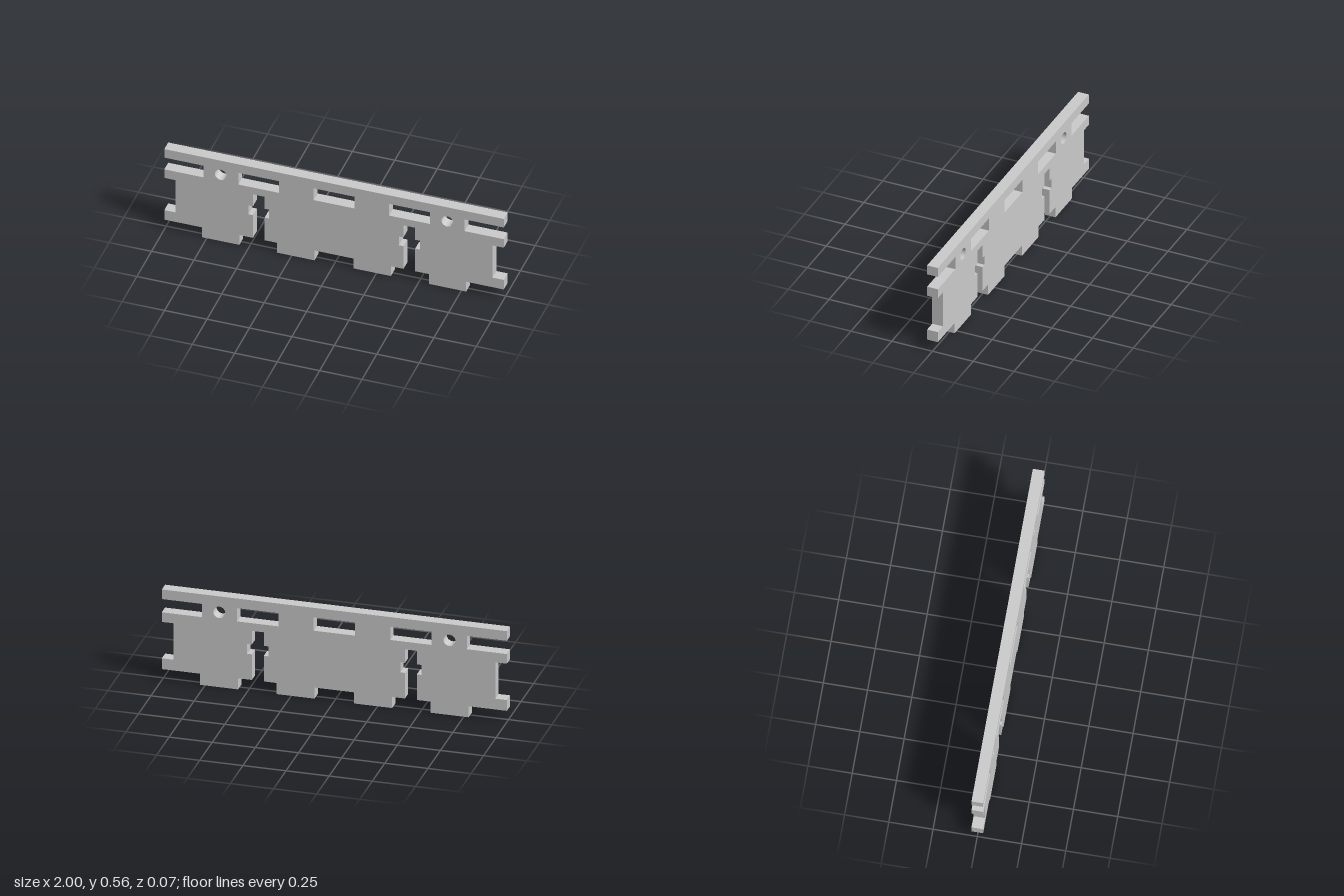
import * as THREE from 'three';

const THICKNESS = 0.066;

// Right half of the outline, from bottom centre round to the top edge
const HALF = [
  [0.115, 0.068], [0.115, 0], [0.335, 0], [0.335, 0.068],       // inner tab
  [0.409, 0.068], [0.409, 0.225], [0.382, 0.225], [0.382, 0.286], // cross slot
  [0.409, 0.286], [0.409, 0.369], [0.478, 0.369], [0.478, 0.286],
  [0.505, 0.286], [0.505, 0.225], [0.478, 0.225], [0.478, 0.068],
  [0.558, 0.068], [0.558, 0], [0.778, 0], [0.778, 0.068],       // outer tab
  [1, 0.068], [1, 0.134], [0.933, 0.134], [0.933, 0.357],       // end recess
  [1, 0.357], [1, 0.416], [0.768, 0.416], [0.768, 0.497],       // open end slot
  [1, 0.497], [1, 0.556],
];

function rectHole(cx, halfWidth, y0, y1) {
  return new THREE.Path([
    [cx - halfWidth, y0], [cx - halfWidth, y1], [cx + halfWidth, y1], [cx + halfWidth, y0],
  ].map(([x, y]) => new THREE.Vector2(x, y)));
}

export function createModel() {
  const group = new THREE.Group();
  group.name = 'slottedPanel';

  // Mirror the half outline into a full plate
  const mirrored = HALF.map(([x, y]) => [-x, y]).reverse();
  const shape = new THREE.Shape([...HALF, ...mirrored].map(([x, y]) => new THREE.Vector2(x, y)));

  // Three rectangular windows
  for (const cx of [-0.444, 0, 0.444]) shape.holes.push(rectHole(cx, 0.12, 0.416, 0.497));

  // Two round bolt holes
  for (const side of [-1, 1]) {
    shape.holes.push(new THREE.Path().absarc(side * 0.667, 0.458, 0.035, 0, Math.PI * 2, true));
  }

  const geometry = new THREE.ExtrudeGeometry(shape, {
    depth: THICKNESS, bevelEnabled: false, curveSegments: 32,
  });
  geometry.translate(0, 0, -THICKNESS / 2);

  const plate = new THREE.Mesh(geometry, new THREE.MeshStandardMaterial({ color: 0xcccccc }));
  plate.name = 'plate';
  group.add(plate);
  return group;
}
